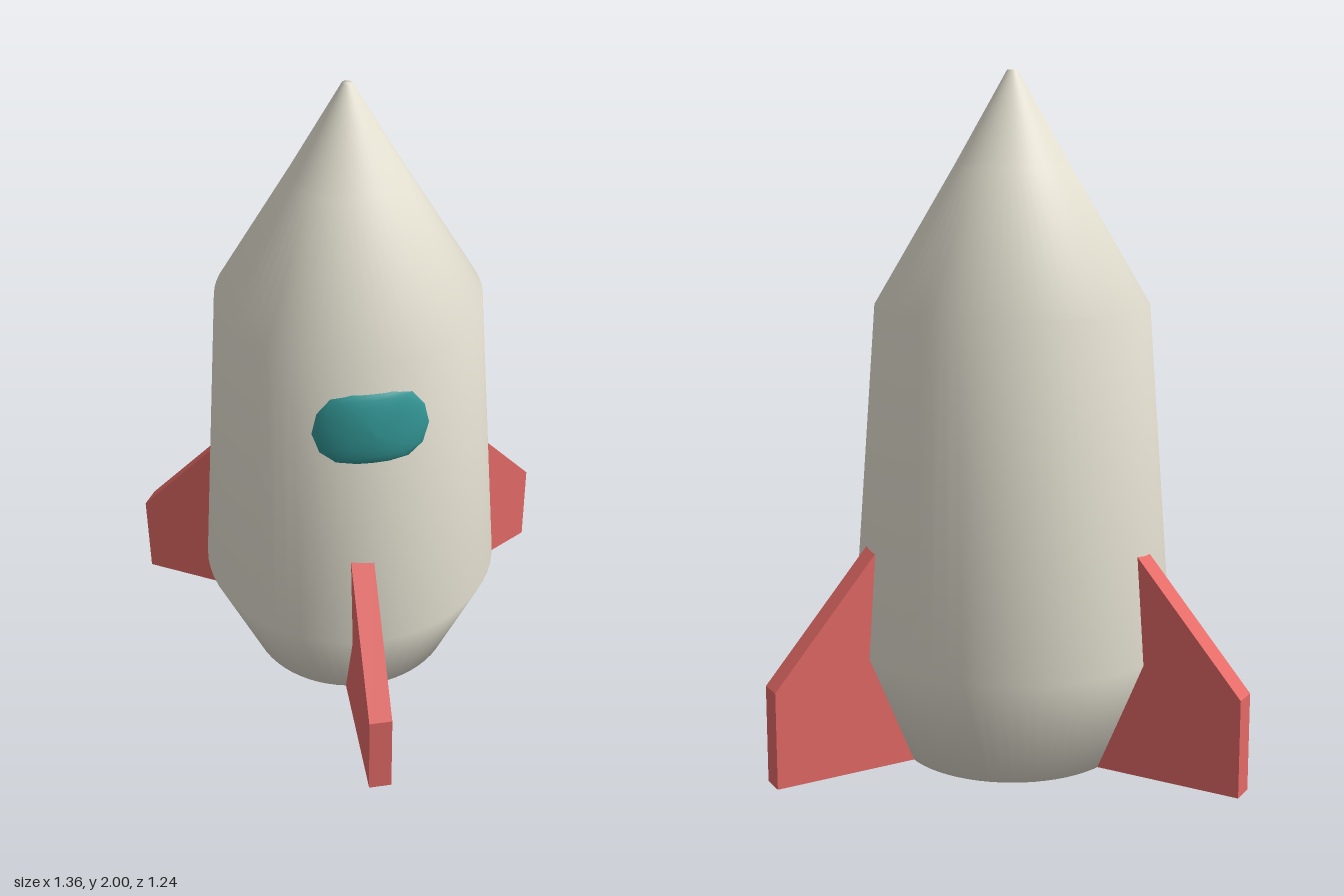
import * as THREE from 'three';

const AXIS_X = -0.02, AXIS_Z = -0.145;

const paint = (color) => new THREE.MeshStandardMaterial({ color });

function lathe(name, profile, material) {
  const points = profile.map(([r, y]) => new THREE.Vector2(r, y));
  const mesh = new THREE.Mesh(new THREE.LatheGeometry(points, 64), material);
  mesh.name = name;
  return mesh;
}

// Radius of the hull between its widest ring and its shoulder
const hullRadius = (y) => 0.475 - 0.075 * (y - 0.335);

// Bulged pane that wraps around the hull: scaled copies of one outline
function windowGeometry() {
  const half = [
    [0, 1.24], [0.06, 1.24], [0.12, 1.225], [0.16, 1.17],
    [0.175, 1.1], [0.155, 1.04], [0.11, 1.01], [0.05, 1.005], [0, 1.005],
  ];
  const mirrored = half.slice(1, -1).reverse().map(([x, y]) => [-x, y]);
  const outline = [...half, ...mirrored].reverse(); // counter-clockwise from the front
  const n = outline.length, rings = 6, midY = 1.12;
  const positions = [], index = [];
  for (let i = 0; i <= rings; i++) {
    const s = Math.sin((i / rings) * Math.PI / 2);
    const bulge = 0.03 * Math.sqrt(Math.max(0, 1 - s * s)) - 0.004;
    for (const [px, py] of outline) {
      const x = px * s, y = midY + (py - midY) * s;
      positions.push(x, y, Math.sqrt(hullRadius(y) ** 2 - x * x) + bulge);
    }
  }
  for (let i = 0; i < rings; i++) {
    for (let j = 0; j < n; j++) {
      const k = (j + 1) % n;
      const a = i * n + j, b = i * n + k, c = a + n, d = b + n;
      if (i > 0) index.push(a, c, b);
      index.push(b, c, d);
    }
  }
  const geometry = new THREE.BufferGeometry();
  geometry.setAttribute('position', new THREE.Float32BufferAttribute(positions, 3));
  geometry.setIndex(index);
  geometry.computeVertexNormals();
  return geometry;
}

// Swept fin: outline in radius and height, inner edge tucked into the hull
function finGeometry() {
  const shape = new THREE.Shape([
    [0.325, 0], [0.765, 0], [0.765, 0.285], [0.44, 0.657], [0.45, 0.335],
  ].map(([r, y]) => new THREE.Vector2(r, y)));
  const geometry = new THREE.ExtrudeGeometry(shape, { depth: 0.07, bevelEnabled: false });
  return geometry.rotateY(-Math.PI / 2); // radius now along +z, thickness along -x
}

export function createModel() {
  const rocket = new THREE.Group();
  rocket.name = 'rocket';
  const cream = paint(0xe6e2d3), red = paint(0xe56b67), teal = paint(0x329695);

  // Hull, closed underneath
  rocket.add(lathe('hull', [
    [0, 0], [0.335, 0], [0.475, 0.335], [0.4, 1.335], [0.165, 1.735],
  ], cream));

  // Nose cone with a tiny blunt tip
  rocket.add(lathe('noseCone', [[0.165, 1.735], [0.015, 2], [0, 2]], cream));

  // Window
  const pane = new THREE.Mesh(windowGeometry(), teal);
  pane.name = 'window';
  rocket.add(pane);

  // Three fins around the axis
  const fin = finGeometry();
  ['frontFin', 'leftFin', 'rightFin'].forEach((name, i) => {
    const mesh = new THREE.Mesh(fin, red);
    mesh.name = name;
    mesh.rotation.y = (i * 2 * Math.PI) / 3;
    rocket.add(mesh);
  });

  rocket.position.set(AXIS_X, 0, AXIS_Z);
  const model = new THREE.Group();
  model.name = 'model';
  model.add(rocket);
  return model;
}
